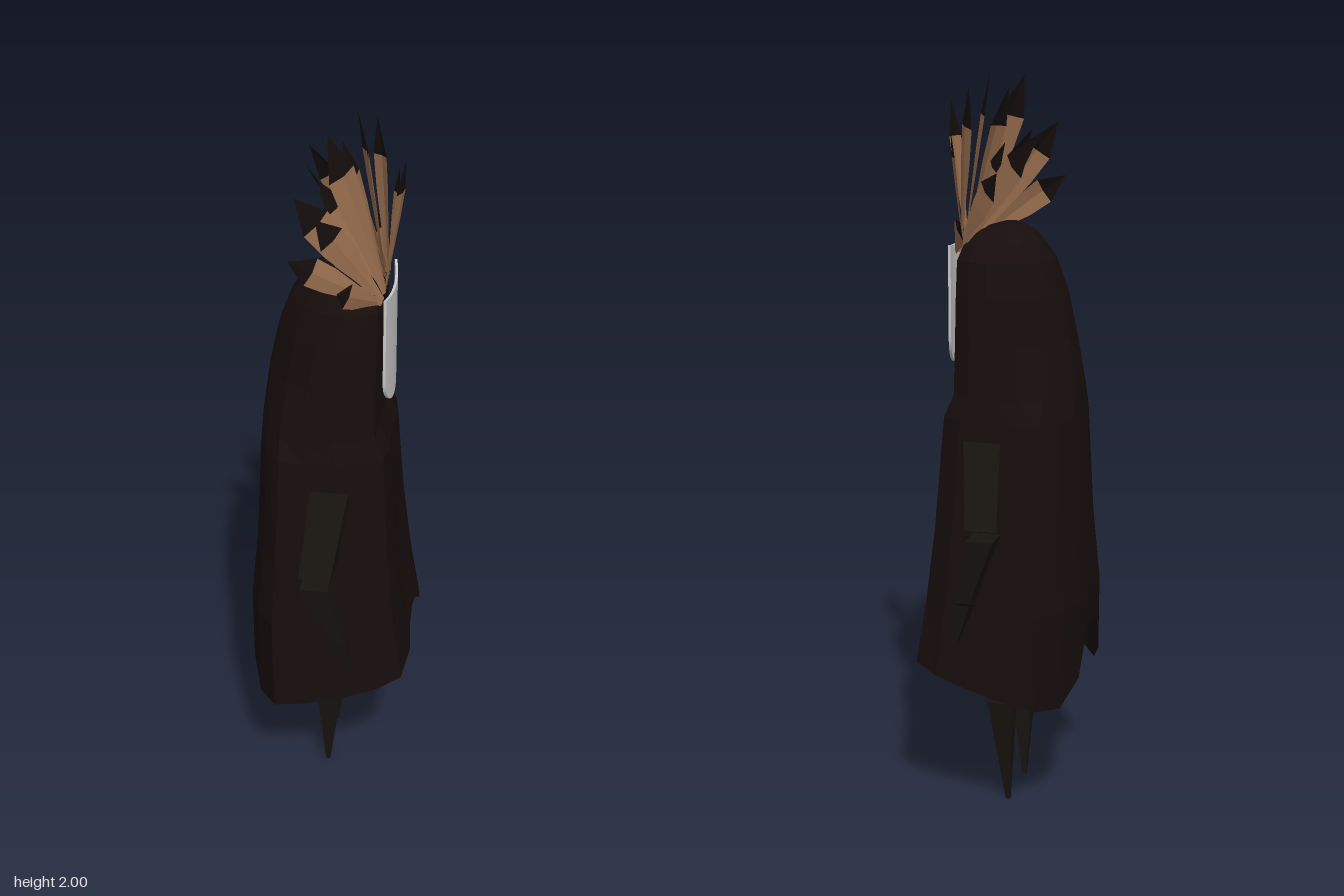
import * as THREE from 'three';
import { toCreasedNormals } from 'three/addons/utils/BufferGeometryUtils.js';

const { clamp } = THREE.MathUtils;
const CZ = -0.013; // middle of the robe, which faces +x

const mat = (color, extra = {}) => new THREE.MeshStandardMaterial({ color, flatShading: true, ...extra });
const cloth = mat(0x160d0c, { side: THREE.DoubleSide });
const limbMat = mat(0x17130f);
const vaneMat = mat(0x966c4d, { side: THREE.DoubleSide });
const tipMat = mat(0x130c0b, { side: THREE.DoubleSide });
const maskMat = new THREE.MeshStandardMaterial({ color: 0xcccccc });

// Skin between rings of points; closed rings run counter-clockwise about the loft direction
function loft(rings, { closed = true, capStart = true } = {}) {
  const pos = [];
  const tri = (...pts) => pts.forEach((p) => pos.push(...p));
  const n = rings[0].length;
  for (let r = 0; r < rings.length - 1; r++) {
    const a = rings[r], b = rings[r + 1];
    for (let i = 0; i < (closed ? n : n - 1); i++) {
      const j = (i + 1) % n;
      tri(a[i], a[j], b[j]);
      tri(a[i], b[j], b[i]);
    }
  }
  const first = rings[0], last = rings[rings.length - 1];
  for (let i = 1; closed && i < n - 1; i++) {
    if (capStart) tri(first[0], first[i + 1], first[i]);
    tri(last[0], last[i], last[i + 1]);
  }
  const g = new THREE.BufferGeometry();
  g.setAttribute('position', new THREE.Float32BufferAttribute(pos, 3));
  g.computeVertexNormals();
  return g;
}

function add(parent, name, geometry, material) {
  const m = new THREE.Mesh(geometry, material);
  m.name = name;
  parent.add(m);
}

// Hooded robe: one half outline (forward, sideways), mirrored and scaled per level
function robe() {
  const half = [[0.96, 0], [0.97, 0.22], [1, 0.42], [0.94, 0.75], [0.64, 0.9], [0.25, 0.97],
    [-0.2, 1], [-0.6, 0.97], [-0.83, 0.71], [-0.97, 0.42], [-1, 0.22], [-1, 0]];
  const outline = [...half, ...half.slice(1, -1).reverse().map(([u, v]) => [u, -v])];
  // height, back x, front x, half width
  const levels = [
    [0, -0.222, 0.226, 0.29], [0.6, -0.225, 0.2, 0.27], [0.8, -0.207, 0.178, 0.247],
    [1.1, -0.194, 0.158, 0.208], [1.16, -0.19, 0.132, 0.198], [1.3, -0.172, 0.131, 0.179],
    [1.42, -0.147, 0.131, 0.162], [1.51, -0.115, 0.131, 0.14], [1.555, -0.083, 0.115, 0.11],
    [1.585, -0.055, 0.075, 0.075], [1.6, -0.03, 0.03, 0.04],
  ];
  const rings = levels.map(([y, back, front, w]) => outline.map(([u, v]) => {
    const x = (back + front) / 2 + u * (front - back) / 2;
    // hem drops at the sides and arches at front and back
    const a = Math.abs(v);
    const hem = a < 0.1 ? 0.515 : a < 0.3 ? 0.5 : a < 0.5 ? 0.42 + 0.15 * x : 0.375 + 0.25 * x;
    // the hood is rounder at the back than the skirt
    const taper = 1 - 0.45 * clamp((y - 1.1) / 0.15, 0, 1) * Math.max(0, -u);
    return [x, y || hem, CZ + v * w * taper];
  }));
  return loft(rings, { capStart: false });
}

// Four-sided limb piece from sections [x, y, z, halfX, halfZ, tilt], bottom to top
function limb(side, center, sections) {
  return loft(sections.map(([x, y, z, hx, hz, tilt = 0]) =>
    [[-1, 1], [1, 1], [1, -1], [-1, -1]].map(([i, k]) =>
      [x + i * hx, y + k * side * tilt, center + side * z + k * hz])));
}

// Curved shield-shaped mask, lofted in columns across z
function mask() {
  const cols = [];
  for (let i = 0; i <= 20; i++) {
    const u = -Math.cos((i / 20) * Math.PI);
    const x = 0.157 - 0.012 * u * u, z = CZ + 0.115 * u;
    const low = 1.31 - 0.09 * Math.sqrt(Math.max(0, 1 - u * u)), high = 1.54 + 0.012 * u * u;
    cols.push([[x - 0.007, low, z], [x, low, z], [x, high, z], [x - 0.007, high, z]]);
  }
  return toCreasedNormals(loft(cols), 0.6);
}

// Feather: folded leaf-shaped vane with a dark pointed tip; side feathers turn edge-on to their lean
function feather(parent, tip, width) {
  const spread = tip[2] - CZ;
  const root = new THREE.Vector3(0.13, 1.53, CZ + 0.42 * spread);
  const dir = new THREE.Vector3(...tip).sub(root);
  const face = new THREE.Vector3(1, 0, clamp(spread / 0.12, -1, 1)).normalize();
  const across = new THREE.Vector3().crossVectors(dir, face).normalize();
  const section = ([t, w]) => [-1, 0, 1].map((k) =>
    root.clone().addScaledVector(dir, t).addScaledVector(face, k ? 0 : 0.18 * w * width)
      .addScaledVector(across, k * w * width).toArray());
  const open = { closed: false };
  const g = new THREE.Group();
  g.name = 'feather';
  add(g, 'featherVane', loft([[0, 0.15], [0.25, 0.45], [0.55, 0.9], [0.76, 1]].map(section), open), vaneMat);
  add(g, 'featherTip', loft([[0.76, 1], [1, 0]].map(section), open), tipMat);
  parent.add(g);
}

export function createModel() {
  const model = new THREE.Group();
  model.name = 'hoodedFigure';
  add(model, 'robe', robe(), cloth);
  add(model, 'mask', mask(), maskMat);

  // Arms and legs, mirrored across z
  for (const [side, label] of [[-1, 'left'], [1, 'right']]) {
    const arm = new THREE.Group();
    arm.name = label + 'Arm';
    add(arm, 'upperArm', limb(side, 0, [[-0.005, 0.835, 0.313, 0.042, 0.045, 0.015],
      [0.02, 1.035, 0.23, 0.05, 0.026, 0.025]]), limbMat);
    add(arm, 'forearm', limb(side, 0, [[0.052, 0.635, 0.322, 0.022, 0.019, 0.01],
      [-0.004, 0.826, 0.332, 0.036, 0.041]]), limbMat);
    add(arm, 'hand', limb(side, 0, [[0.082, 0.525, 0.308, 0.01, 0.008],
      [0.054, 0.629, 0.322, 0.022, 0.019, 0.01]]), limbMat);
    model.add(arm);

    const leg = new THREE.Group();
    leg.name = label + 'Leg';
    add(leg, 'upperLeg', limb(side, CZ, [[0, 0.31, 0.115, 0.036, 0.028],
      [0, 0.62, 0.127, 0.05, 0.045]]), limbMat);
    add(leg, 'lowerLeg', limb(side, CZ, [[-0.01, 0, 0.09, 0.006, 0.004],
      [0, 0.3, 0.115, 0.035, 0.028]]), limbMat);
    model.add(leg);
  }

  // Feather crown: tip position and half width
  const crown = new THREE.Group();
  crown.name = 'featherCrown';
  [
    [0.05, 2.0, -0.05, 0.046], [-0.01, 1.98, 0.07, 0.046], [0.02, 1.95, 0.02, 0.04],
    [0.18, 1.91, 0.03, 0.026], [0.09, 1.96, -0.115, 0.03], [-0.085, 1.84, -0.06, 0.042],
    [-0.08, 1.85, 0.16, 0.044], [-0.095, 1.84, -0.18, 0.044], [0.0, 1.75, -0.175, 0.04],
    [-0.03, 1.79, 0.15, 0.04], [-0.09, 1.7, 0.205, 0.038], [0.08, 1.63, -0.235, 0.035],
    [0.03, 1.61, 0.19, 0.035], [0.0, 1.82, -0.09, 0.04], [0.155, 1.85, -0.065, 0.026],
    [-0.04, 1.84, 0.03, 0.042],
  ].forEach(([x, y, z, w]) => feather(crown, [x, y, z], w));
  model.add(crown);
  return model;
}
